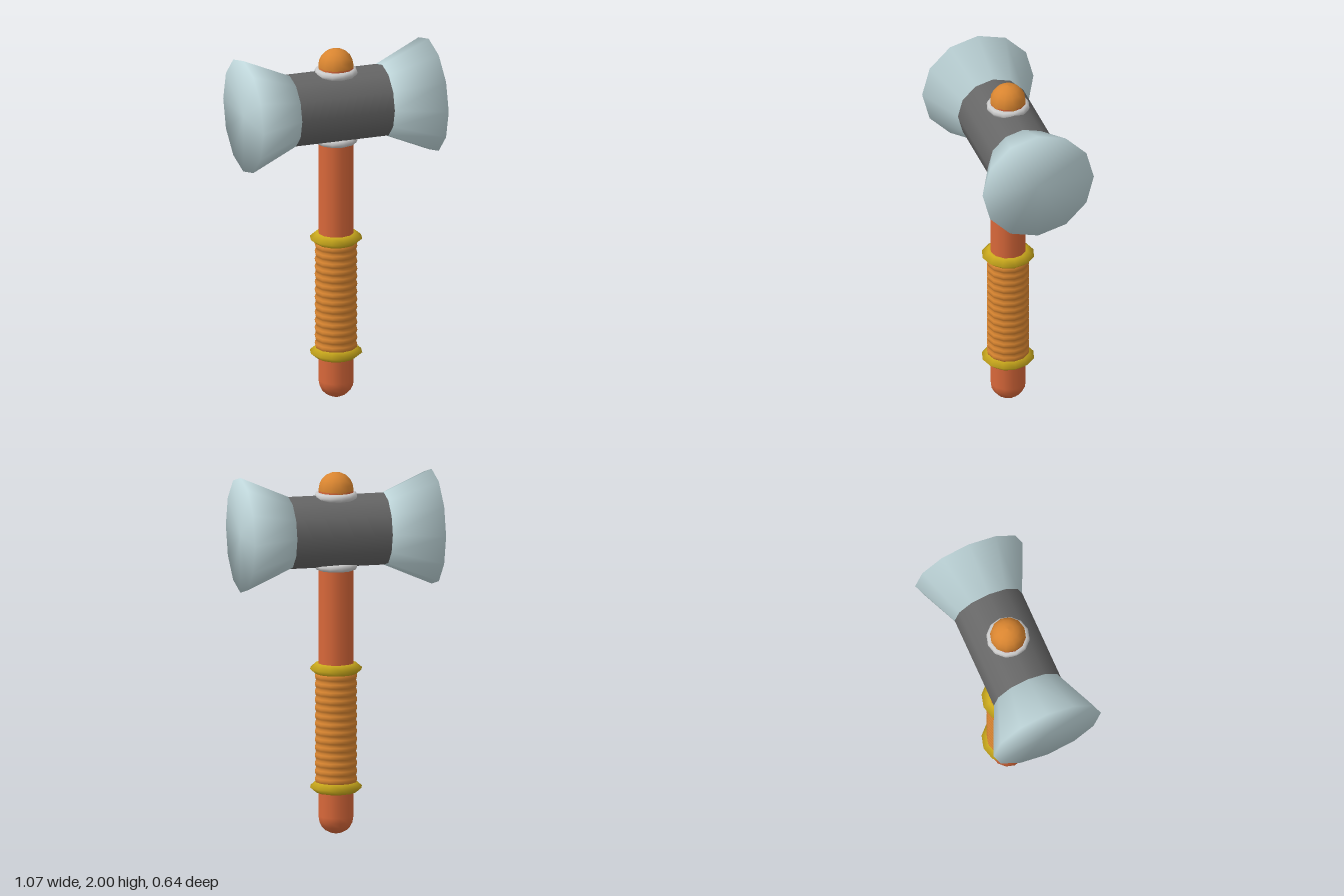
import * as THREE from 'three';

const SIDES = 12;
const HEAD_Y = 1.675;

const materials = {
  wood: new THREE.MeshStandardMaterial({ color: 0xd9683a }),
  grip: new THREE.MeshStandardMaterial({ color: 0xd98530 }),
  gold: new THREE.MeshStandardMaterial({ color: 0xc9a81c }),
  steel: new THREE.MeshStandardMaterial({ color: 0xbfd6da }),
  iron: new THREE.MeshStandardMaterial({ color: 0x666666 }),
  washer: new THREE.MeshStandardMaterial({ color: 0xcccccc }),
};

// Revolved part; points are [radius, height], listed from bottom to top
function lathe(name, points, material) {
  const profile = points.map(([r, y]) => new THREE.Vector2(r, y));
  const mesh = new THREE.Mesh(new THREE.LatheGeometry(profile, SIDES), material);
  mesh.name = name;
  return mesh;
}

// Quarter-circle profile between two angles, in degrees
function arc(radius, centerY, from, to, steps = 5) {
  return Array.from({ length: steps + 1 }, (_, i) => {
    const a = THREE.MathUtils.degToRad(from + ((to - from) * i) / steps);
    return [Math.max(0, radius * Math.cos(a)), centerY + radius * Math.sin(a)];
  });
}

export function createModel() {
  const model = new THREE.Group();
  model.name = 'hammer';

  // Handle with rounded butt, and the domed tip above the head
  model.add(lathe('handle', [...arc(0.098, 0.098, -90, 0), [0.098, 1.9]], materials.wood));
  model.add(lathe('handleTip', [[0.098, 1.87], ...arc(0.098, 1.902, 0, 90)], materials.grip));

  // Ribbed grip wrap
  const ribs = 14, bottom = 0.28, top = 0.895, steps = ribs * 4;
  const wrap = [];
  for (let i = 0; i <= steps; i++) {
    const ripple = Math.abs(Math.sin((i / 4) * Math.PI));
    wrap.push([0.109 + 0.009 * ripple, bottom + ((top - bottom) * i) / steps]);
  }
  model.add(lathe('gripWrap', wrap, materials.grip));

  // Sharp-edged collars at both ends of the grip
  for (const [name, y] of [['lowerCollar', 0.26], ['upperCollar', 0.915]]) {
    const collar = lathe(name, [
      [0.09, -0.03], [0.11, -0.03], [0.145, 0], [0.11, 0.03], [0.09, 0.03],
    ], materials.gold);
    collar.position.y = y;
    model.add(collar);
  }

  // Washers where the handle passes through the head
  for (const [name, y] of [['lowerWasher', 1.483], ['upperWasher', 1.869]]) {
    const washer = new THREE.Mesh(new THREE.TorusGeometry(0.096, 0.023, 8, SIDES), materials.washer);
    washer.name = name;
    washer.rotation.x = Math.PI / 2;
    washer.position.y = y;
    model.add(washer);
  }

  // Head: iron core with a flared, closed striker on each end
  const head = new THREE.Group();
  head.name = 'head';
  head.position.y = HEAD_Y;
  const core = lathe('headCore', [[0.2, -0.268], [0.2, 0.268]], materials.iron);
  core.rotation.z = Math.PI / 2;
  head.add(core);
  for (const [name, side] of [['leftStriker', 1], ['rightStriker', -1]]) {
    const striker = lathe(name, [[0, 0.268], [0.2, 0.268], [0.318, 0.537], [0, 0.537]], materials.steel);
    striker.rotation.z = -side * Math.PI / 2;
    head.add(striker);
  }
  model.add(head);

  return model;
}
